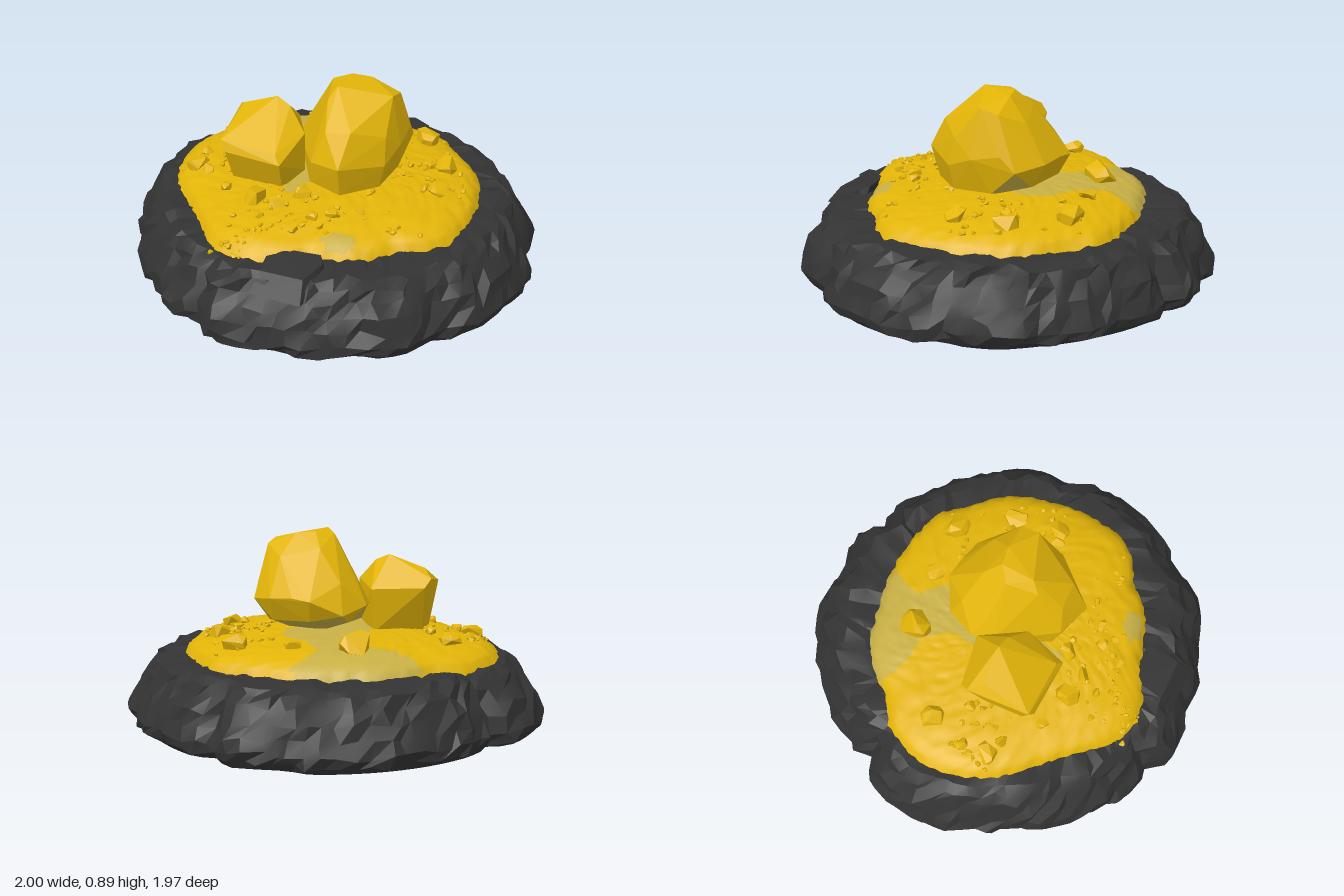
import * as THREE from 'three';
import { mergeGeometries, toCreasedNormals } from 'three/addons/utils/BufferGeometryUtils.js';
import { ConvexGeometry } from 'three/addons/geometries/ConvexGeometry.js';

const material = (name, color) => Object.assign(new THREE.MeshStandardMaterial({ color }), { name });

// Seeded random numbers
let seed = 11;
const rnd = () => {
  seed = (seed * 16807) % 2147483647;
  return seed / 2147483647;
};
const spread = (a) => (rnd() * 2 - 1) * a;

// Linear lookup in a flat list of key, value pairs
function lookup(list, k) {
  for (let i = 0; i < list.length - 2; i += 2) {
    if (k <= list[i + 2]) {
      const f = (k - list[i]) / (list[i + 2] - list[i]);
      return list[i + 1] + (list[i + 3] - list[i + 1]) * f;
    }
  }
  return list[list.length - 1];
}

// Outlines seen from above: degrees from +x towards +z, radius
const BASE = [0, 1, 15, 1, 25, 0.99, 35, 0.95, 45, 1, 54, 0.99, 57, 0.95, 70, 0.97, 80, 0.95, 90, 0.97,
  98, 1.01, 103, 0.92, 106, 0.95, 115, 0.95, 135, 0.94, 155, 0.95, 165, 0.97, 175, 1, 185, 1, 195, 0.98,
  199, 0.88, 203, 0.93, 210, 0.95, 230, 0.97, 250, 0.99, 255, 1, 262, 0.96, 270, 0.98, 278, 1.01, 283, 0.92,
  290, 0.97, 307, 0.96, 325, 0.97, 335, 0.99, 345, 0.98, 351, 0.95, 355, 1, 360, 1];
const SAND = [0, 0.73, 20, 0.75, 30, 0.72, 40, 0.66, 55, 0.68, 65, 0.66, 75, 0.66, 85, 0.72, 95, 0.765, 105, 0.77,
  115, 0.74, 125, 0.7, 140, 0.7, 150, 0.73, 160, 0.77, 180, 0.8, 190, 0.79, 200, 0.76, 210, 0.7, 230, 0.7,
  250, 0.66, 270, 0.67, 290, 0.7, 300, 0.72, 310, 0.7, 330, 0.72, 345, 0.72, 360, 0.73];
// Sand height by share of the outline radius
const SAND_HEIGHT = [0, 0.445, 0.5, 0.428, 0.75, 0.408, 0.9, 0.38, 0.97, 0.348, 1, 0.3];
// Base cross-section: share of the outline radius, height
const PROFILE = [[0.95, 0], [0.99, 0.03], [1, 0.075], [0.975, 0.135], [0.945, 0.195], [0.905, 0.25],
  [0.87, 0.295], [0.825, 0.322], [0.74, 0.325], [0.64, 0.322], [0.55, 0.315]];

const degrees = (x, z) => (Math.atan2(z, x) * 180 / Math.PI + 360) % 360;
const sandHeight = (x, z) => lookup(SAND_HEIGHT, Math.hypot(x, z) / lookup(SAND, degrees(x, z)));

// Surface from closed rings; point(i, degrees) gives [radius, y, turn]; pick sorts faces into materials
function rings(count, sides, point, pick = () => 0) {
  const pos = [], lists = [[], []];
  for (let i = 0; i < count; i++) {
    for (let j = 0; j < sides; j++) {
      const deg = (j / sides) * 360;
      const [r, y, turn = 0] = point(i, deg);
      const a = THREE.MathUtils.degToRad(deg + turn);
      pos.push(r * Math.cos(a), y, r * Math.sin(a));
    }
  }
  const add = (...tri) => {
    const x = tri.reduce((s, v) => s + pos[v * 3] / 3, 0);
    const z = tri.reduce((s, v) => s + pos[v * 3 + 2] / 3, 0);
    lists[pick(x, z)].push(...tri);
  };
  for (let i = 0; i < count - 1; i++) {
    for (let j = 0; j < sides; j++) {
      const k = (j + 1) % sides, a = i * sides, b = a + sides;
      add(a + j, b + j, a + k);
      add(b + j, b + k, a + k);
    }
  }
  const geo = new THREE.BufferGeometry();
  geo.setAttribute('position', new THREE.Float32BufferAttribute(pos, 3));
  geo.setIndex([...lists[0], ...lists[1]]);
  geo.addGroup(0, lists[0].length, 0);
  geo.addGroup(lists[0].length, lists[1].length, 1);
  geo.computeVertexNormals();
  return geo;
}

// Rocky ring with irregular facets
const BASE_SIDES = 90;
function baseGeometry() {
  return toCreasedNormals(rings(PROFILE.length, BASE_SIDES, (i, deg) => {
    const [share, y] = PROFILE[i];
    if (i === 0) return [share * lookup(BASE, deg), y];
    const turn = spread(1.5);
    const r = share * lookup(BASE, (deg + turn + 360) % 360) + spread(0.016) - 0.002;
    return [Math.min(r, 1), Math.min(y + spread(0.014), 0.33), turn];
  }), 0.3);
}

// Pale areas of the sand, as polygons in x, z
const PALE = [
  [-0.56, -0.39, -0.45, -0.6, -0.2, -0.7, -0.03, -0.64, -0.1, -0.47, 0.02, -0.35, 0.15, -0.3, 0.2, -0.15, -0.02, 0.1,
    -0.02, 0.3, -0.08, 0.33, -0.2, 0.1, -0.19, -0.22, -0.28, -0.33, -0.42, -0.33],
  [0.2, 0.55, 0.25, 0.48, 0.35, 0.46, 0.36, 0.53, 0.27, 0.58],
];
const inside = (p, x, z) => {
  let hit = false;
  for (let i = 0, j = p.length - 2; i < p.length; j = i, i += 2) {
    if ((p[i + 1] > z) !== (p[j + 1] > z) &&
      x < ((p[j] - p[i]) * (z - p[i + 1])) / (p[j + 1] - p[i + 1]) + p[i]) hit = !hit;
  }
  return hit;
};

// Faceted rock; faces that point downwards go to the second material
function hull(pts) {
  const geo = new ConvexGeometry(pts.map((p) => new THREE.Vector3(...p)));
  const normal = geo.getAttribute('normal');
  for (let i = 0; i < normal.count; i += 3) geo.addGroup(i, 3, normal.getY(i) < -0.6 ? 1 : 0);
  return geo;
}

// Small faceted stone resting on the sand
function stone(x, z, size) {
  const pts = [], turn = rnd() * 6, long = 0.75 + rnd() * 0.35;
  for (let i = 0; i < 16; i++) {
    const v = new THREE.Vector3(spread(1), spread(1), spread(1)).normalize();
    pts.push(v.multiply(new THREE.Vector3(size, size * 0.75, size * long)));
  }
  return new ConvexGeometry(pts).rotateY(turn).translate(x, sandHeight(x, z) + size * 0.2, z);
}

export function createModel() {
  const model = new THREE.Group();
  const dark = material('dark rock', 0x333333);
  const gold = material('gold', 0xe2b408);
  const pale = material('pale sand', 0xc8b045);
  const grey = material('grey underside', 0xbfc1cc);
  const add = (name, geo, mat) => {
    const mesh = new THREE.Mesh(geo, mat);
    mesh.name = name;
    model.add(mesh);
  };

  // Base, its raised front block and the flat underside
  add('rockBase', baseGeometry(), dark);
  add('frontBlock', hull([
    [0.02, 0.345, 0.67], [0.06, 0.36, 0.65], [0.25, 0.36, 0.62], [0.28, 0.35, 0.66], [0.25, 0.335, 0.79],
    [0.05, 0.33, 0.8], [0, 0.25, 0.7], [0.3, 0.25, 0.64], [0.27, 0.25, 0.86], [0.03, 0.25, 0.87],
  ]), [dark, dark]);
  add('underside', rings(2, BASE_SIDES, (i, deg) => [i * PROFILE[0][0] * lookup(BASE, deg), 0]), grey);

  // Sand mound with pale areas
  const count = 31;
  add('sandMound', rings(count, 140, (i, deg) => {
    const t = 1 - i / (count - 1);
    const rough = THREE.MathUtils.smoothstep(t, 0.15, 0.5);
    const edge = t > 0.9 ? spread(0.008) : 0;
    return [t * lookup(SAND, deg) + edge, lookup(SAND_HEIGHT, t) + spread(0.005) * rough];
  }, (x, z) => (PALE.some((p) => inside(p, x, z)) ? 1 : 0)), [gold, pale]);

  // Large boulder, undercut at the back with a pale underside
  add('largeBoulder', hull([
    [0.07, 0.895, 0.08], [0, 0.88, -0.02], [0.07, 0.892, -0.08], [0.16, 0.885, -0.1], [0.3, 0.85, -0.02], [0.3, 0.83, -0.11],
    [0.31, 0.78, 0.02], [0.04, 0.84, 0.12], [-0.05, 0.79, -0.05], [0.02, 0.82, -0.15], [0.2, 0.78, -0.2],
    [0.2, 0.75, 0.22], [0.08, 0.73, 0.23], [0.32, 0.7, 0.1], [0.34, 0.65, -0.14],
    [-0.12, 0.68, -0.05], [-0.1, 0.67, -0.2], [0, 0.6, -0.33], [0.09, 0.61, -0.32], [0.21, 0.6, -0.3],
    [0.33, 0.58, -0.21], [0.35, 0.62, 0], [0.33, 0.57, 0.13], [0.18, 0.6, 0.31], [0.02, 0.58, 0.26],
    [-0.17, 0.56, 0], [-0.19, 0.56, -0.1], [-0.13, 0.53, -0.25],
    [0.02, 0.5, -0.28], [0.22, 0.49, -0.24], [0.31, 0.46, -0.08], [0.3, 0.45, 0.12], [0.17, 0.45, 0.27],
    [0, 0.46, 0.23], [-0.13, 0.48, 0], [-0.13, 0.49, -0.18],
    [0.05, 0.42, -0.08], [0.2, 0.42, -0.05], [0.22, 0.42, 0.12], [0.03, 0.42, 0.15],
  ]), [gold, pale]);

  // Smaller block-shaped boulder, tipped so that one edge is on top
  add('smallBoulder', hull([
    [-0.46, 0.68, 0.04], [-0.41, 0.72, 0.1], [-0.24, 0.78, 0.08], [-0.17, 0.75, 0.09], [-0.44, 0.64, 0],
    [-0.2, 0.63, -0.06], [-0.07, 0.65, 0.14], [-0.41, 0.63, 0.33], [-0.13, 0.61, 0.32],
    [-0.38, 0.58, 0.345], [-0.1, 0.57, 0.34], [-0.43, 0.57, 0.06], [-0.4, 0.42, 0.1], [-0.38, 0.42, 0.28],
    [-0.12, 0.42, 0.28], [-0.07, 0.46, 0.14], [-0.2, 0.42, -0.02],
  ]), [gold, gold]);

  // Stones scattered over the sand: x, z, size
  const stones = [
    [-0.25, -0.38, 0.09], [0.3, -0.47, 0.075], [0.04, -0.44, 0.045], [0.49, -0.25, 0.065], [0.53, -0.03, 0.055],
    [0.47, 0, 0.035], [0.42, -0.22, 0.035], [-0.59, -0.08, 0.06], [-0.61, 0.22, 0.06], [-0.53, 0.26, 0.04],
    [-0.63, 0.1, 0.035], [-0.46, 0.05, 0.035], [-0.18, 0.43, 0.075], [0, 0.31, 0.055], [-0.05, 0.44, 0.05],
    [0.12, 0.44, 0.035], [0.2, 0.4, 0.035], [-0.36, 0.38, 0.035], [-0.1, 0.52, 0.03], [0.08, 0.55, 0.03],
  ];
  add('stones', mergeGeometries(stones.map((s) => stone(...s))), gold);

  // Crumbs in loose clusters: x, z, reach, number
  const crumbs = [];
  for (const [x, z, reach, n] of [[-0.52, 0.15, 0.16, 28], [0, 0.45, 0.22, 30], [0.45, -0.15, 0.2, 28],
    [-0.15, 0.68, 0.1, 18], [0.3, -0.45, 0.14, 10], [0.4, 0.25, 0.2, 12]]) {
    for (let i = 0; i < n; i++) crumbs.push(stone(x + spread(reach), z + spread(reach * 0.7), 0.008 + rnd() * 0.014));
  }
  add('crumbs', mergeGeometries(crumbs), gold);
  return model;
}
